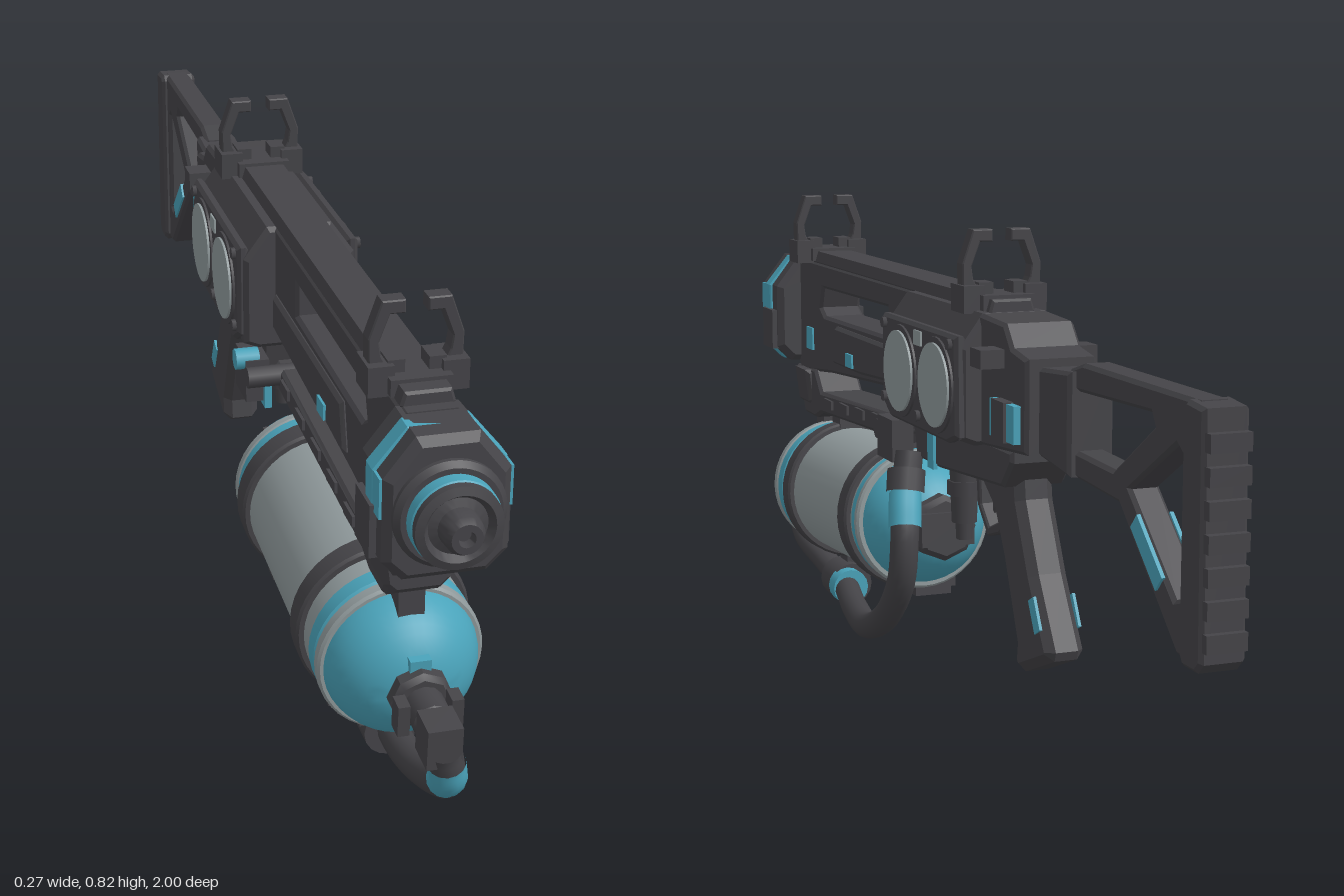
import * as THREE from 'three';
import { toCreasedNormals } from 'three/addons/utils/BufferGeometryUtils.js';

export function createModel() {
  const root = new THREE.Group();
  root.name = 'canisterRifle';
  const mat = (name, color) => Object.assign(new THREE.MeshStandardMaterial({ color }), { name });
  const dark = mat('darkMetal', 0x454448);
  const teal = mat('tealPaint', 0x4aa3ba);
  const grey = mat('paleMetal', 0x909a9c);

  const add = (name, geo, m, parent = root) => {
    const mesh = new THREE.Mesh(geo, m);
    mesh.name = name;
    parent.add(mesh);
    return mesh;
  };
  const box = (name, m, w, h, d, x, y, z, parent) => {
    const b = add(name, new THREE.BoxGeometry(w, h, d), m, parent);
    b.position.set(x, y, z);
    return b;
  };
  const outline = (pts, holes = []) => {
    const s = new THREE.Shape(pts.map(p => new THREE.Vector2(...p)));
    holes.forEach(h => s.holes.push(new THREE.Path(h.map(p => new THREE.Vector2(...p)))));
    return s;
  };
  const extrude = (pts, depth, holes, b) => new THREE.ExtrudeGeometry(outline(pts, holes), {
    depth: depth - 2 * b, bevelEnabled: b > 0, bevelSize: b, bevelThickness: b, bevelOffset: -b, bevelSegments: 1,
  }).translate(0, 0, -depth / 2 + b);
  // side profile in (z, y), given a width along x
  const side = (name, m, pts, width, { holes = [], x = 0, bevel = 0.006 } = {}) =>
    add(name, extrude(pts, width, holes, bevel).rotateY(-Math.PI / 2).translate(x, 0, 0), m);
  // front profile in (x, y), run from z0 to z1
  const front = (name, m, pts, z0, z1, bevel = 0.008, parent) =>
    add(name, extrude(pts, z1 - z0, [], bevel).translate(0, 0, (z0 + z1) / 2), m, parent);
  // round profile in (radius, z) about the z axis
  const round = (name, m, pts, parent, y = 0, seg = 40) => {
    const g = new THREE.LatheGeometry(pts.map(p => new THREE.Vector2(...p)), seg);
    return add(name, toCreasedNormals(g.rotateX(Math.PI / 2).translate(0, y, 0), 0.6), m, parent);
  };
  const ring = (r, z0, z1, c = 0.004) => [[0, z0], [r - c, z0], [r, z0 + c], [r, z1 - c], [r - c, z1], [0, z1]];
  const mirrored = pts => [...pts, ...pts.map(([x, y]) => [-x, y]).reverse()];
  const cyl = (name, m, r0, r1, h, x, y, z, axis = 'y', seg = 20) => {
    const c = add(name, new THREE.CylinderGeometry(r0, r1, h, seg), m);
    if (axis === 'x') c.rotation.z = Math.PI / 2;
    if (axis === 'z') c.rotation.x = Math.PI / 2;
    c.position.set(x, y, z);
    return c;
  };

  // Handguard with the long window, top rail and lower rail
  side('handguard', dark, [[0.84, 0.69], [0.05, 0.69], [0.05, 0.5], [0.2, 0.5], [0.6, 0.475], [0.8, 0.455], [0.84, 0.49]], 0.084,
    { holes: [[[0.665, 0.6], [0.65, 0.64], [0.25, 0.645], [0.25, 0.59], [0.64, 0.585]]] });
  side('handguardPanel', dark, [[0.55, 0.575], [0.12, 0.575], [0.12, 0.515], [0.4, 0.5], [0.57, 0.5]], 0.1);
  front('topRail', dark, mirrored([[0.034, 0.68], [0.04, 0.69], [0.034, 0.71]]), -0.25, 0.82, 0.004);
  side('lowerRail', dark, [[0.83, 0.465], [0.77, 0.37], [0.7, 0.37], [0.66, 0.385], [0.14, 0.41], [0.12, 0.455], [0.66, 0.428], [0.7, 0.47]], 0.09);
  for (let i = 0; i < 5; i++) box('railLug', dark, 0.1, 0.018, 0.05, 0, 0.412 + i * 0.006, 0.6 - i * 0.1);
  front('frontBracket', dark, mirrored([[0.035, 0.385], [0.05, 0.4], [0.058, 0.465]]), 0.72, 0.8);
  box('tankHanger', dark, 0.04, 0.08, 0.05, 0, 0.365, 0.745);
  for (const s of [-1, 1]) {
    for (const [z, y, h] of [[0.73, 0.53, 0.045], [0.45, 0.52, 0.026]])
      box('paintPatch', teal, 0.006, h, 0.04, s * (z > 0.6 ? 0.043 : 0.051), y, z);
  }

  // Muzzle
  const octagon = k => mirrored([[0.06 * k, 0.475], [0.09 * k, 0.505], [0.09 * k, 0.63], [0.045 * k, 0.688]]);
  front('muzzleCollar', dark, octagon(1), 0.8, 0.92, 0.012);
  front('collarBand', teal, octagon(1.06), 0.845, 0.88, 0.003);
  for (const s of [-1, 1]) {
    box('collarPlate', teal, 0.008, 0.06, 0.03, s * 0.09, 0.6, 0.893);
    box('collarLug', dark, 0.014, 0.08, 0.07, s * 0.093, 0.54, 0.85);
  }
  round('muzzleRing', dark, ring(0.08, 0.9, 0.935, 0.008), root, 0.577);
  round('muzzleSleeve', teal, ring(0.064, 0.93, 0.958), root, 0.577);
  round('muzzleFace', dark, [[0, 0.95], [0.062, 0.95], [0.062, 0.968], [0.05, 0.972], [0.042, 0.96], [0.03, 0.965], [0.028, 0.99],
    [0.022, 1], [0.012, 1], [0.01, 0.985], [0, 0.985]], root, 0.577);

  // Receiver with twin round side covers
  front('receiver', dark, mirrored([[0.07, 0.475], [0.095, 0.485], [0.095, 0.635], [0.055, 0.69]]), -0.265, 0.11);
  for (const s of [-1, 1]) {
    side('receiverPlate', dark, [[0.1, 0.655], [-0.26, 0.655], [-0.265, 0.49], [-0.22, 0.475], [0.06, 0.475], [0.1, 0.5]], 0.02, { x: s * 0.094 });
    for (const z of [0, -0.175]) {
      cyl('coverBezel', dark, 0.08, 0.08, 0.02, s * 0.098, 0.565, z, 'x', 36);
      cyl('coverDisc', grey, 0.07, 0.07, 0.008, s * 0.108, 0.565, z, 'x', 36);
    }
    box('coverTab', grey, 0.006, 0.025, 0.035, s * 0.104, 0.632, -0.088);
    for (const [z, y] of [[0.08, 0.64], [-0.24, 0.64], [-0.088, 0.5], [0.08, 0.51]])
      cyl('plateBolt', dark, 0.01, 0.01, 0.01, s * 0.106, y, z, 'x', 6);
    // Catches under the front of the receiver
    box('sideCatch', dark, 0.04, 0.075, 0.08, s * 0.08, 0.43, 0.1);
    box('catchArm', teal, 0.012, 0.045, 0.04, s * 0.064, 0.405, 0.13);
    box('lowerClip', teal, 0.008, 0.07, 0.03, s * 0.056, 0.43, -0.025);
  }
  cyl('selectorKnob', teal, 0.018, 0.018, 0.04, -0.095, 0.465, 0.12, 'x', 10);
  cyl('catchPin', dark, 0.018, 0.018, 0.2, 0, 0.44, 0.145, 'x', 12);
  side('lowerReceiver', dark, [[0.08, 0.485], [-0.38, 0.485], [-0.38, 0.465], [-0.34, 0.42], [-0.05, 0.4], [0.06, 0.4]], 0.11);
  cyl('lowerValve', dark, 0.026, 0.022, 0.1, 0.02, 0.36, -0.085, 'y', 12);
  cyl('valveNut', dark, 0.03, 0.03, 0.025, 0.02, 0.37, -0.085, 'y', 6);
  cyl('valveTip', dark, 0.016, 0.014, 0.04, 0.02, 0.3, -0.085, 'y', 12);

  // Rear block and cocking handle
  side('rearBlock', dark, [[-0.25, 0.69], [-0.36, 0.685], [-0.39, 0.65], [-0.45, 0.64], [-0.45, 0.49], [-0.25, 0.475]], 0.12);
  side('stockHinge', dark, [[-0.43, 0.625], [-0.56, 0.635], [-0.56, 0.475], [-0.43, 0.49]], 0.075);
  box('cockingHandle', dark, 0.2, 0.03, 0.045, 0, 0.63, -0.34);
  for (const s of [-1, 1]) {
    box('rearLatch', teal, 0.03, 0.06, 0.1, s * 0.057, 0.535, -0.38);
    box('latchCover', dark, 0.034, 0.064, 0.05, s * 0.06, 0.535, -0.375);
  }

  // Skeleton stock and ribbed butt pad
  side('stockFrame', dark, [[-0.53, 0.635], [-0.58, 0.65], [-0.95, 0.65], [-0.95, 0.29], [-0.9, 0.29], [-0.71, 0.465], [-0.53, 0.475]], 0.05,
    { holes: [[[-0.555, 0.605], [-0.555, 0.515], [-0.69, 0.51], [-0.82, 0.595], [-0.81, 0.612]],
      [[-0.905, 0.57], [-0.89, 0.58], [-0.745, 0.492], [-0.89, 0.365], [-0.905, 0.37]]] });
  side('buttPad', dark, [[-0.925, 0.64], [-0.935, 0.65], [-0.985, 0.645], [-0.99, 0.3], [-0.975, 0.285], [-0.935, 0.285], [-0.925, 0.3]], 0.07);
  for (let i = 0; i < 7; i++) box('padRib', dark, 0.062, 0.026, 0.03, 0, 0.33 + i * 0.045, -0.985);
  for (const s of [-1, 1]) {
    const p = box('stockPatch', teal, 0.006, 0.03, 0.11, s * 0.026, 0.415, -0.81);
    p.rotation.x = -0.73;
  }

  // Pistol grip, trigger and guard
  side('pistolGrip', dark, [[-0.18, 0.43], [-0.35, 0.435], [-0.355, 0.4], [-0.41, 0.29], [-0.48, 0.18], [-0.475, 0.165], [-0.36, 0.118], [-0.34, 0.13],
    [-0.345, 0.165], [-0.29, 0.29], [-0.25, 0.36], [-0.19, 0.4]], 0.066, { bevel: 0.014 });
  side('triggerGuard', dark, [[-0.13, 0.42], [-0.14, 0.35], [-0.185, 0.305], [-0.235, 0.32], [-0.28, 0.36], [-0.26, 0.42]], 0.035,
    { holes: [[[-0.15, 0.405], [-0.24, 0.4], [-0.235, 0.34], [-0.19, 0.322], [-0.155, 0.355]]], bevel: 0.003 });
  side('trigger', dark, [[-0.19, 0.41], [-0.215, 0.41], [-0.205, 0.37], [-0.19, 0.345], [-0.185, 0.35]], 0.016, { bevel: 0.002 });
  for (const s of [-1, 1]) {
    const p = box('gripPatch', teal, 0.005, 0.055, 0.024, s * 0.0335, 0.23, -0.43);
    p.rotation.x = 0.5;
  }

  // Horned sights
  for (const z of [0.745, -0.19]) {
    const sight = new THREE.Group();
    sight.name = 'sight';
    sight.position.z = z;
    root.add(sight);
    box('sightBase', dark, 0.09, 0.025, 0.09, 0, 0.703, 0, sight);
    for (const s of [-1, 1]) {
      box('sightFoot', dark, 0.038, 0.045, 0.06, s * 0.054, 0.708, 0, sight);
      box('sightLug', dark, 0.025, 0.025, 0.04, s * 0.03, 0.722, 0, sight);
      const horn = [[0.038, 0.715], [0.068, 0.72], [0.069, 0.765], [0.05, 0.82], [0.016, 0.82], [0.016, 0.8], [0.038, 0.8], [0.053, 0.76], [0.05, 0.74]];
      front('sightHorn', dark, horn.map(([x, y]) => [s * x, y]), -0.014, 0.014, 0.002, sight);
    }
  }

  // Tank, slightly nose down
  const tank = new THREE.Group();
  tank.name = 'tank';
  tank.position.set(0, 0.245, 0.44);
  tank.rotation.x = 0.055;
  root.add(tank);
  const dome = (z, dir, len, r) => {
    const p = [];
    for (let i = 0; i <= 12; i++) {
      const a = (i / 12) * Math.PI / 2;
      p.push([r * Math.cos(a), z + dir * len * Math.sin(a)]);
    }
    return dir > 0 ? p : p.reverse();
  };
  round('tankBody', grey, [[0.122, -0.24], [0.125, -0.22], [0.125, 0.25], [0.122, 0.27]], tank);
  round('frontDome', teal, dome(0.27, 1, 0.11, 0.12), tank);
  round('rearDome', teal, dome(-0.24, -1, 0.125, 0.12), tank);
  for (const [name, m, r, z0, z1] of [['frontRing', grey, 0.128, 0.262, 0.285], ['frontStripe', teal, 0.127, 0.225, 0.26],
    ['frontBand', dark, 0.137, 0.15, 0.193], ['rearBand', dark, 0.137, -0.215, -0.168],
    ['rearStripe', teal, 0.127, -0.25, -0.222], ['rearRing', grey, 0.129, -0.265, -0.245]]) {
    round(name, m, ring(r, z0, z1), tank);
  }
  for (const z of [0.172, -0.19]) {
    box('bandClampTop', dark, 0.05, 0.03, 0.05, 0, 0.142, z, tank);
    box('bandClampBottom', dark, 0.07, 0.032, 0.05, -0.035, -0.138, z, tank);
    box('bandClampSide', dark, 0.025, 0.04, 0.035, -0.07, -0.122, z, tank);
  }
  round('rearCap', dark, ring(0.06, -0.385, -0.335, 0.01), tank, 0, 8);
  box('rearCapBlock', dark, 0.1, 0.06, 0.04, 0, 0, -0.375, tank);

  // Front valve
  round('valveCollar', dark, ring(0.048, 0.365, 0.4, 0.008), tank, 0, 8);
  round('valveNeck', dark, ring(0.03, 0.39, 0.45), tank, 0, 12);
  box('valveTab', teal, 0.032, 0.02, 0.03, 0, 0.05, 0.365, tank);
  for (const s of [-1, 1]) box('valveEar', dark, 0.018, 0.05, 0.03, s * 0.04, 0, 0.42, tank);
  box('valveHead', dark, 0.052, 0.065, 0.055, 0, -0.005, 0.475, tank);

  // Feed hose looping below the tank
  const v = p => new THREE.Vector3(...p);
  const hose = (name, m, pts, r, n = 12) =>
    add(name, new THREE.TubeGeometry(new THREE.CatmullRomCurve3(pts.map(v)), n, r, 14), m);
  hose('hose', dark, [[0.005, 0.2, 0.925], [0.015, 0.15, 0.915], [0.025, 0.095, 0.85], [0.015, 0.058, 0.73], [0.02, 0.045, 0.6], [0.06, 0.04, 0.4],
    [0.092, 0.055, 0.22], [0.1, 0.11, 0.09], [0.1, 0.19, 0.015], [0.097, 0.27, 0.005], [0.085, 0.34, 0.035], [0.07, 0.41, 0.055]], 0.025, 80);
  hose('hoseFrontFitting', teal, [[0.009, 0.178, 0.923], [0.015, 0.15, 0.915], [0.019, 0.126, 0.89]], 0.028);
  hose('hoseRearFitting', teal, [[0.096, 0.285, 0.006], [0.091, 0.315, 0.02], [0.085, 0.34, 0.035]], 0.029);
  hose('hoseRearNut', dark, [[0.085, 0.342, 0.035], [0.078, 0.38, 0.048]], 0.034);
  cyl('hoseClamp', dark, 0.042, 0.042, 0.075, 0.012, 0.046, 0.605, 'z', 16);
  cyl('clampBand', teal, 0.036, 0.036, 0.035, 0.022, 0.045, 0.56, 'z', 16);
  box('clampPost', dark, 0.05, 0.07, 0.045, -0.01, 0.09, 0.61);

  return root;
}
